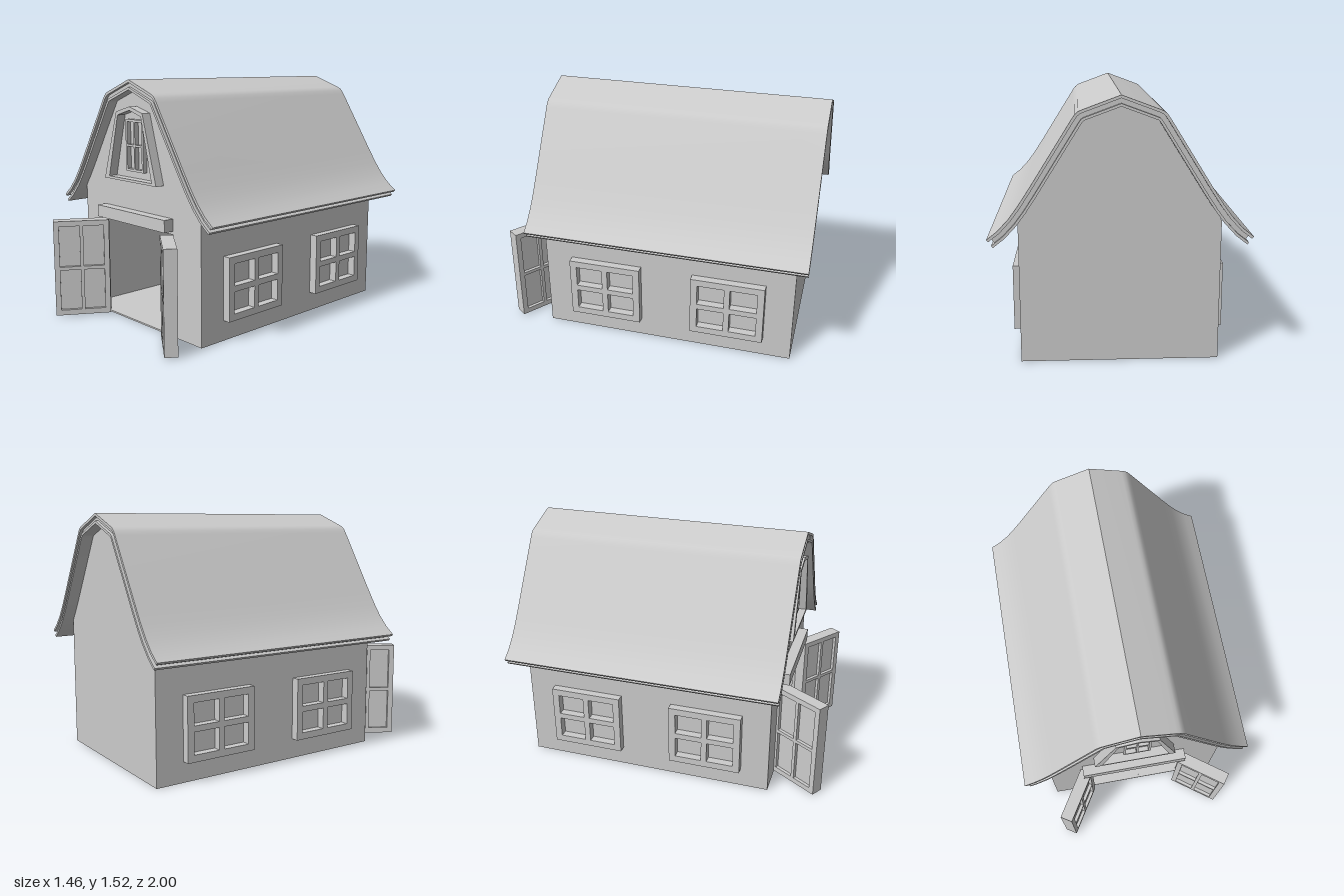
import * as THREE from 'three';
import { toCreasedNormals } from 'three/addons/utils/BufferGeometryUtils.js';

const material = new THREE.MeshStandardMaterial({ color: 0xcccccc });

function add(parent, name, geometry, x = 0, y = 0, z = 0) {
  const mesh = new THREE.Mesh(geometry, material);
  mesh.name = name;
  mesh.position.set(x, y, z);
  parent.add(mesh);
  return mesh;
}

const toPoints = (list) => list.map(([x, y]) => new THREE.Vector2(x, y));
const mirror = (half) => [...half, ...half.filter(([x]) => x > 0).reverse().map(([x, y]) => [-x, y])];
const rect = (x0, y0, x1, y1) => [[x0, y0], [x1, y0], [x1, y1], [x0, y1]];

function plate(outline, depth, holes = []) {
  const shape = new THREE.Shape(toPoints(outline));
  for (const hole of holes) shape.holes.push(new THREE.Path(toPoints(hole)));
  return new THREE.ExtrudeGeometry(shape, { depth, bevelEnabled: false });
}

// Frame with a cross of bars, centred on x and y, growing towards +z
function crossFrame(w, h, border, bar, depth) {
  const holes = [];
  for (const sx of [-1, 1]) for (const sy of [-1, 1]) {
    const xs = [sx * bar / 2, sx * (w / 2 - border)].sort((a, b) => a - b);
    const ys = [sy * bar / 2, sy * (h / 2 - border)].sort((a, b) => a - b);
    holes.push(rect(xs[0], ys[0], xs[1], ys[1]));
  }
  return plate(rect(-w / 2, -h / 2, w / 2, h / 2), depth, holes);
}

// Half of the roof profile, ridge to eave
const roofHalf = [[0, 1.525], [0.205, 1.449], [0.228, 1.439], [0.245, 1.424], [0.262, 1.4],
  [0.5, 1.02], [0.56, 0.928], [0.61, 0.86], [0.67, 0.795], [0.73, 0.748]];

// The profile shifted inwards by a distance d
function offsetRoof(d) {
  return roofHalf.map(([x, y], i) => {
    if (i === 0) return [0, y - d * 1.07];
    const a = roofHalf[i - 1];
    const b = roofHalf[Math.min(i + 1, roofHalf.length - 1)];
    const dx = b[0] - a[0], dy = b[1] - a[1], len = Math.hypot(dx, dy);
    return [x + d * dy / len, y - d * dx / len];
  });
}

function roofLayer(top, bottom, depth, trim = 0) {
  const side = (d) => {
    const half = offsetRoof(d);
    if (trim) half[half.length - 1] = half[half.length - 1].map((v, k) => v + trim * [-0.79, 0.61][k]);
    return [...half.slice(1).reverse().map(([x, y]) => [-x, y]), ...half];
  };
  return toCreasedNormals(plate([...side(top), ...side(bottom).reverse()], depth), 0.5);
}

function addRoof(model) {
  const roof = new THREE.Group();
  roof.name = 'roof';
  // Two thin skins around a set-back core leave a groove along every edge
  add(roof, 'roofTop', roofLayer(0, 0.016, 1.74), 0, 0, -1);
  add(roof, 'roofCore', roofLayer(0.016, 0.042, 1.7, 0.02), 0, 0, -0.98);
  add(roof, 'roofUnderside', roofLayer(0.042, 0.057, 1.74), 0, 0, -1);
  model.add(roof);
}

function addBody(model) {
  const t = 0.02;
  const outer = mirror([[0.565, 0], [0.565, 0.82], [0.53, 0.885], [0.22, 1.38]]);
  outer.splice(4, 0, [0, 1.475]);
  const inner = mirror([[0.545, 0.01], [0.545, 0.81], [0.51, 0.875], [0.21, 1.355]]);
  inner.splice(4, 0, [0, 1.445]);
  add(model, 'sideWallsAndFloor', plate(outer, 1.6 - 2 * t, [inner]), 0, 0, -0.925 + t);
  add(model, 'backWall', plate(outer, t), 0, 0, -0.925);
  add(model, 'frontWall', plate(outer, t, [rect(-0.35, 0.01, 0.32, 0.63)]), 0, 0, 0.675 - t);
  add(model, 'lintel', new THREE.BoxGeometry(0.67, 0.075, 0.065), -0.015, 0.6875, 0.7075);
}

// Door swung open around its hinge; side is the direction it extends along local x
function addDoor(model, name, side, width, x, z, angle) {
  const door = new THREE.Group();
  door.name = name;
  add(door, 'doorFrame', crossFrame(width, 0.62, 0.034, 0.022, 0.078), side * width / 2, 0.32, 0);
  add(door, 'doorPanel', new THREE.BoxGeometry(width - 0.04, 0.58, 0.036), side * width / 2, 0.32, 0.039);
  door.position.set(x, 0, z);
  door.rotation.y = angle;
  model.add(door);
}

function addGableWindow(model) {
  const gable = new THREE.Group();
  gable.name = 'gableWindow';
  const outer = [[-0.27, 0.91], [0.24, 0.91], [0.12, 1.33], [-0.005, 1.365], [-0.138, 1.33]];
  const inner = [[-0.222, 0.926], [0.198, 0.926], [0.105, 1.31], [-0.005, 1.343], [-0.123, 1.31]];
  add(gable, 'gableSurround', plate(outer, 0.06, [inner]), 0, 0, 0.673);
  add(gable, 'gableWindowFrame', crossFrame(0.17, 0.316, 0.015, 0.012, 0.03), 0, 1.128, 0.673);
  model.add(gable);
}

export function createModel() {
  const model = new THREE.Group();
  model.name = 'barn';
  addBody(model);
  addRoof(model);
  addGableWindow(model);
  addDoor(model, 'leftDoor', 1, 0.335, 0.32, 0.675, -0.63);
  addDoor(model, 'rightDoor', -1, 0.35, -0.355, 0.66, 1.012);

  // Two windows on each long side
  for (const side of [-1, 1]) for (const z of [0.27, -0.52]) {
    const frame = add(model, 'sideWindow', crossFrame(0.46, 0.39, 0.043, 0.036, 0.052), side * 0.563, 0.32, z);
    frame.rotation.y = side * Math.PI / 2;
  }
  return model;
}
